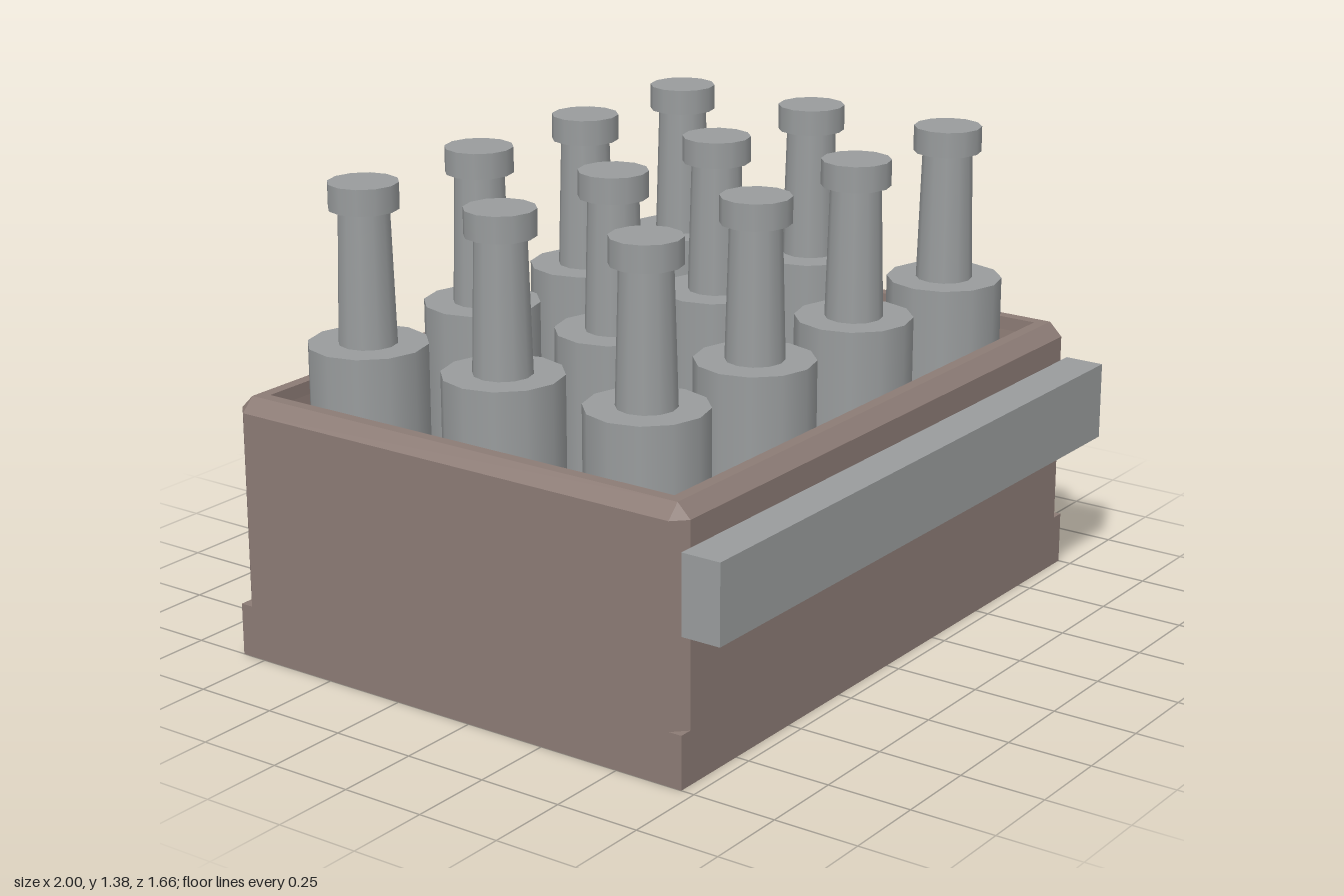
import * as THREE from 'three';

const brown = new THREE.MeshStandardMaterial({ color: 0x8c7b75 });
brown.name = 'crateBrown';
const grey = new THREE.MeshStandardMaterial({ color: 0x999c9d });
grey.name = 'bottleGrey';

const X = 1, Z0 = -0.83, Z1 = 0.71; // crate footprint

// Rectangle with cut corners, inset from the footprint
function ring(inset, y, cut) {
  const x = X - inset, f = Z1 - inset, b = Z0 + inset;
  return [[-x + cut, f], [x - cut, f], [x, f - cut], [x, b + cut],
    [x - cut, b], [-x + cut, b], [-x, b + cut], [-x, f - cut]]
    .map(([px, pz]) => new THREE.Vector3(px, y, pz));
}

// Joins successive rings with flat-shaded faces
function loft(rings) {
  const points = [];
  for (let i = 0; i < rings.length - 1; i++) {
    for (let k = 0; k < 8; k++) {
      const n = (k + 1) % 8;
      const a = rings[i][k], b = rings[i][n], c = rings[i + 1][n], d = rings[i + 1][k];
      for (const t of [[a, b, c], [a, c, d]]) {
        const area = new THREE.Triangle(...t).getArea();
        if (area > 1e-8) points.push(...t);
      }
    }
  }
  const geometry = new THREE.BufferGeometry().setFromPoints(points);
  geometry.computeVertexNormals();
  return geometry;
}

function add(parent, name, geometry, material, x = 0, y = 0, z = 0) {
  const mesh = new THREE.Mesh(geometry, material);
  mesh.name = name;
  mesh.position.set(x, y, z);
  parent.add(mesh);
  return mesh;
}

export function createModel() {
  const model = new THREE.Group();
  model.name = 'bottleCrate';

  // Crate shell: underside recess, outer walls with cut corners, bevelled rim, inner walls
  const profile = [
    [0.12, 0.17, 0], [0.085, 0.04, 0], [0.06, 0.04, 0], [0.045, 0.015, 0], [0.03, 0, 0],
    [0, 0, 0], [0, 0.155, 0], [0, 0.155, 0.04], [0, 0.735, 0.04],
    [0.04, 0.775, 0], [0.075, 0.775, 0], [0.075, 0.735, 0], [0.115, 0.19, 0],
  ];
  add(model, 'crateShell', loft(profile.map((p) => ring(...p))), brown);

  // Floor panel inside the shell
  add(model, 'crateFloor', new THREE.BoxGeometry(1.77, 0.02, 1.31), brown, 0, 0.18, (Z0 + Z1) / 2);

  // Front plate
  add(model, 'frontPlate', new THREE.BoxGeometry(2, 0.23, 0.12), grey, 0, 0.545, 0.77);

  // Bottles in four columns and three rows
  const body = new THREE.CylinderGeometry(0.171, 0.171, 0.735, 12);
  const neck = new THREE.CylinderGeometry(0.073, 0.084, 0.385, 12);
  const cap = new THREE.CylinderGeometry(0.1, 0.1, 0.075, 12);
  for (const z of [-0.54, -0.06, 0.42]) {
    for (const x of [-0.75, -0.25, 0.25, 0.75]) {
      const bottle = new THREE.Group();
      bottle.name = 'bottle';
      bottle.position.set(x, 0, z);
      add(bottle, 'bottleBody', body, grey, 0, 0.5575);
      add(bottle, 'bottleNeck', neck, grey, 0, 1.1175);
      add(bottle, 'bottleCap', cap, grey, 0, 1.3475);
      model.add(bottle);
    }
  }
  return model;
}
